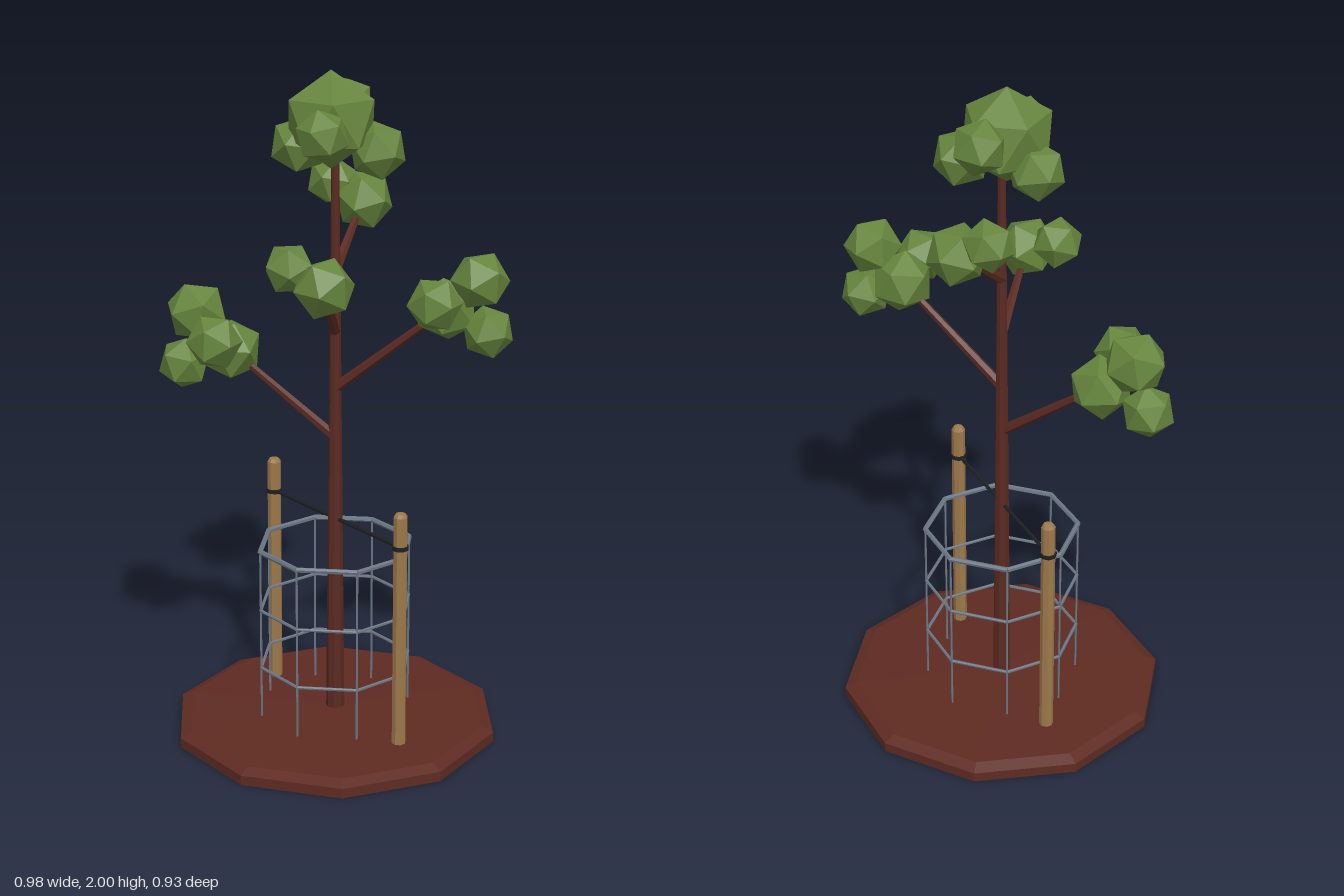
import * as THREE from 'three';

const mat = (name, color) => {
  const m = new THREE.MeshStandardMaterial({ color, flatShading: true });
  m.name = name;
  return m;
};

export function createModel() {
  const root = new THREE.Group();
  root.name = 'guardedTree';
  const bark = mat('bark', 0x5a2a21);
  const soil = mat('soil', 0x5e2b22);
  const leaf = mat('leaf', 0x66853d);
  const wood = mat('wood', 0x9c794a);
  const steel = mat('steel', 0x6b7784);
  const rubber = mat('rubber', 0x1d2023);

  const add = (parent, name, geometry, material, x = 0, y = 0, z = 0) => {
    const mesh = new THREE.Mesh(geometry, material);
    mesh.name = name;
    mesh.position.set(x, y, z);
    parent.add(mesh);
    return mesh;
  };
  const group = (name, parent = root) => {
    const g = new THREE.Group();
    g.name = name;
    parent.add(g);
    return g;
  };
  // Tapered rod between two points
  const rod = (parent, name, a, b, r0, r1, sides, material) => {
    const from = new THREE.Vector3(...a), to = new THREE.Vector3(...b);
    const dir = to.clone().sub(from);
    const mesh = add(parent, name, new THREE.CylinderGeometry(r1, r0, dir.length(), sides), material);
    mesh.position.copy(from).add(to).multiplyScalar(0.5);
    mesh.quaternion.setFromUnitVectors(new THREE.Vector3(0, 1, 0), dir.normalize());
    return mesh;
  };
  const lathe = (points, sides) =>
    new THREE.LatheGeometry(points.map(([r, y]) => new THREE.Vector2(r, y)), sides);

  // Ten-sided soil bed, slightly domed
  const bed = add(root, 'soilBed',
    lathe([[0, 0], [0.49, 0], [0.49, 0.03], [0.455, 0.045], [0, 0.06]], 10), soil);
  bed.rotation.y = Math.PI / 2;

  // Trunk and branches
  rod(root, 'trunk', [0, 0.03, 0], [0, 1.82, 0], 0.028, 0.011, 8, bark);
  const branches = group('branches');
  [
    [0.92, [-0.265, 1.16, 0.18]],
    [1.07, [0.265, 1.335, -0.19]],
    [1.24, [0.14, 1.425, 0.15]],
    [1.42, [-0.1, 1.58, -0.18]],
  ].forEach(([y, tip]) => rod(branches, 'branch', [0, y, 0], tip, 0.016, 0.01, 6, bark));

  // Leaf clumps: x, y, z, radius
  const clusters = {
    crown: [[0, 1.86, 0.015, 0.14], [-0.085, 1.88, -0.11, 0.08], [0.09, 1.775, -0.08, 0.085],
      [-0.09, 1.78, 0.06, 0.085], [0.095, 1.84, 0.12, 0.077]],
    frontRightLeaves: [[-0.35, 1.265, 0.24, 0.094], [-0.2, 1.215, 0.285, 0.083],
      [-0.265, 1.16, 0.18, 0.094], [-0.37, 1.11, 0.275, 0.079]],
    backLeftLeaves: [[0.265, 1.335, -0.19, 0.094], [0.345, 1.425, -0.245, 0.086],
      [0.32, 1.375, -0.1, 0.08], [0.36, 1.275, -0.265, 0.077]],
    frontLeftLeaves: [[0.045, 1.47, 0.2, 0.075], [0.14, 1.425, 0.15, 0.09]],
    backRightLeaves: [[-0.18, 1.635, -0.13, 0.076], [-0.1, 1.585, -0.185, 0.09]],
  };
  const vertexUp = Math.atan(2 / (1 + Math.sqrt(5)));
  let n = 0;
  for (const [name, clumps] of Object.entries(clusters)) {
    const g = group(name);
    for (const [x, y, z, r] of clumps) {
      const clump = add(g, 'leafClump', new THREE.IcosahedronGeometry(r, 0), leaf, x, y, z);
      if (n === 0) clump.rotation.z = vertexUp;
      else clump.rotation.set(n * 1.3, n * 2.1, n * 0.7);
      n++;
    }
  }

  // Octagonal wire guard: three hoops joined by uprights
  const guard = group('wireGuard');
  const corner = (i, y) => {
    const a = Math.PI / 8 + i * Math.PI / 4;
    return [0.23 * Math.cos(a), y, 0.23 * Math.sin(a)];
  };
  for (let i = 0; i < 8; i++) {
    rod(guard, 'upright', corner(i, 0.03), corner(i, 0.585), 0.0035, 0.0035, 5, steel);
    [[0.21, 0.005], [0.395, 0.005], [0.583, 0.008]].forEach(([y, r]) =>
      rod(guard, 'hoopSide', corner(i, y), corner(i + 1, y), r, r, 6, steel));
  }

  // Stakes with chamfered tops, each wrapped by the tie
  for (const side of [-1, 1]) {
    const stake = add(root, side > 0 ? 'leftStake' : 'rightStake',
      lathe([[0, 0.02], [0.021, 0.02], [0.021, 0.76], [0.015, 0.77], [0, 0.772]], 8), wood, side * 0.3);
    stake.rotation.y = Math.PI / 8;
    const loop = add(root, 'tieLoop',
      lathe([[0.019, 0.661], [0.025, 0.661], [0.025, 0.673], [0.019, 0.673]], 8), rubber, side * 0.3);
    loop.rotation.y = Math.PI / 8;
  }
  rod(root, 'tie', [-0.3, 0.667, 0], [0.3, 0.667, 0], 0.006, 0.006, 6, rubber);

  return root;
}
